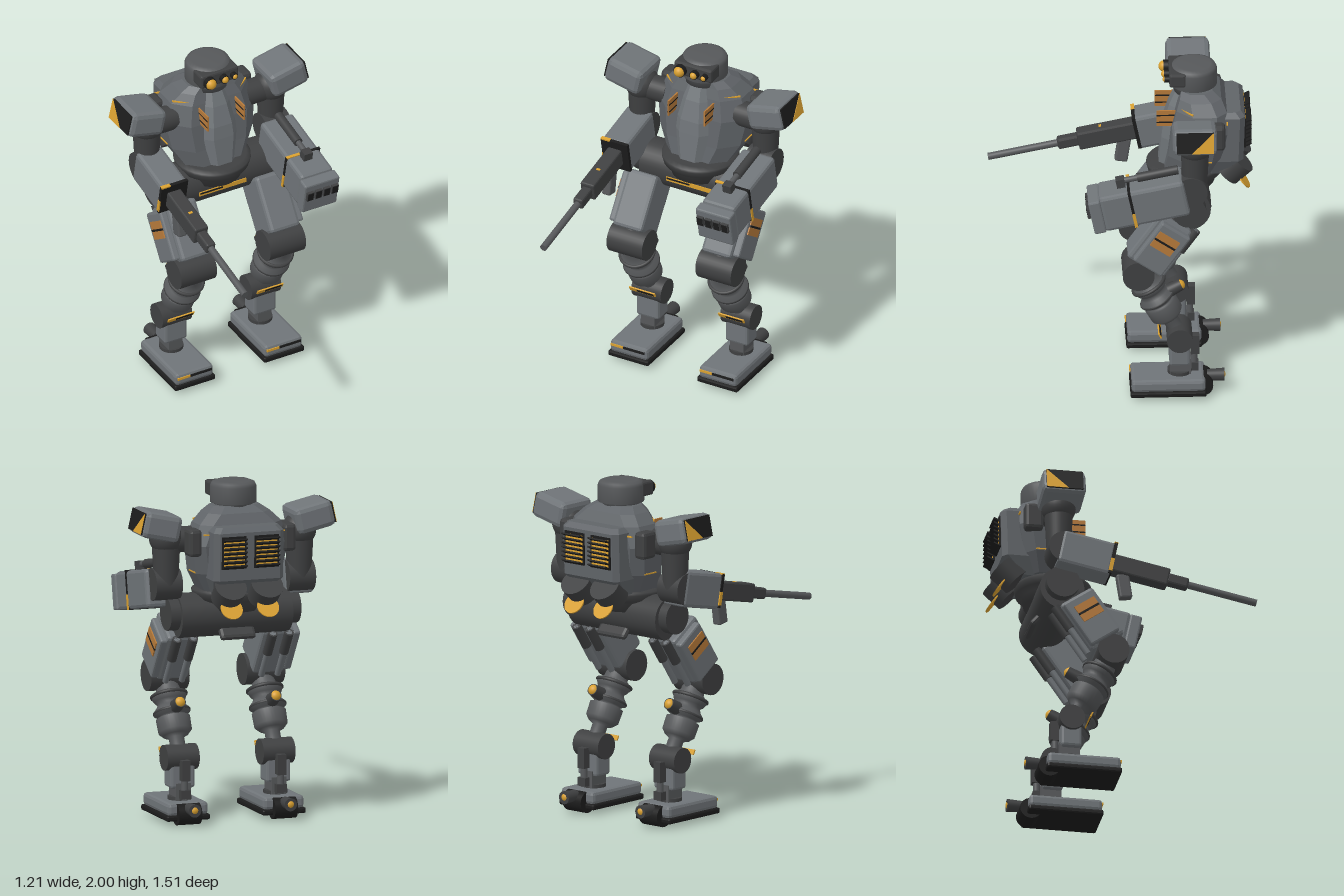
import * as THREE from 'three';
import { RoundedBoxGeometry } from 'three/addons/geometries/RoundedBoxGeometry.js';

const paint = (name, color) => Object.assign(new THREE.MeshStandardMaterial({ color }), { name });
const M = {
  panel: paint('grey panel', 0x6f7478),
  hull: paint('hull grey', 0x606468),
  metal: paint('bare metal', 0x56585a),
  dark: paint('dark joint', 0x3f4041),
  black: paint('black', 0x1c1c1c),
  orange: paint('amber', 0xd9a030),
  rust: paint('burnt orange', 0xb67a3a),
};

const flat = (g) => {
  const f = g.index ? g.toNonIndexed() : g;
  f.computeVertexNormals();
  return f;
};

export function createModel() {
  const root = new THREE.Group();
  root.name = 'walker';

  const add = (parent, name, geo, mat, p = [0, 0, 0], r = [0, 0, 0]) => {
    const m = new THREE.Mesh(geo, mat);
    m.name = name;
    m.position.set(...p);
    m.rotation.set(...r);
    parent.add(m);
    return m;
  };
  const group = (parent, name, p, r = [0, 0, 0]) => {
    const g = new THREE.Group();
    g.name = name;
    g.position.set(...p);
    g.rotation.set(...r);
    parent.add(g);
    return g;
  };
  const box = (parent, name, mat, size, p, r) => add(parent, name, new THREE.BoxGeometry(...size), mat, p, r);
  const chamfer = (parent, name, mat, size, p, r, c = 0.02) =>
    add(parent, name, flat(new RoundedBoxGeometry(...size, 1, c)), mat, p, r);
  // axis is x, y or z; top radius points along the positive axis
  const cyl = (parent, name, mat, rTop, rBot, len, p, axis = 'y', tilt = 0) => {
    const rot = { x: [0, 0, -Math.PI / 2], y: [tilt, 0, 0], z: [Math.PI / 2, 0, 0] }[axis];
    return add(parent, name, new THREE.CylinderGeometry(rTop, rBot, len, 32), mat, p, rot);
  };
  const ball = (parent, name, mat, r, p) => add(parent, name, new THREE.SphereGeometry(r, 28, 18), mat, p);
  const lathe = (parent, name, mat, pts, p) =>
    add(parent, name, new THREE.LatheGeometry(pts.map((q) => new THREE.Vector2(...q)), 32), mat, p);

  // Hull from stacked eight-sided sections [y, halfWidth, zFront, zBack, frontChamfer, backChamfer]
  const loft = (parent, name, mat, rows) => {
    const rings = rows.map(([y, w, f, b, cf, cb]) => [
      [w, y, b + cb], [w, y, f - cf], [w - cf, y, f], [cf - w, y, f],
      [-w, y, f - cf], [-w, y, b + cb], [cb - w, y, b], [w - cb, y, b]]);
    const v = [];
    const tri = (...pts) => pts.forEach((q) => v.push(...q));
    for (let k = 0; k < rings.length - 1; k++) {
      for (let i = 0; i < 8; i++) {
        const j = (i + 1) % 8, lo = rings[k], hi = rings[k + 1];
        tri(lo[i], hi[i], lo[j]);
        tri(lo[j], hi[i], hi[j]);
      }
    }
    const lo = rings[0], hi = rings[rings.length - 1];
    for (let i = 1; i < 7; i++) {
      tri(lo[0], lo[i], lo[i + 1]);
      tri(hi[0], hi[i + 1], hi[i]);
    }
    const g = new THREE.BufferGeometry();
    g.setAttribute('position', new THREE.Float32BufferAttribute(v, 3));
    g.computeVertexNormals();
    return add(parent, name, g, mat);
  };

  // Head and sensor bar
  lathe(root, 'head', M.metal, [[0, 1.83], [0.115, 1.83], [0.115, 1.87], [0.135, 1.875], [0.135, 1.97], [0.125, 1.99], [0.1, 2], [0, 2]], [0, 0, -0.415]);
  chamfer(root, 'sensorBar', M.dark, [0.25, 0.085, 0.1], [0, 1.945, -0.32], [0, 0, 0], 0.012);
  [[-0.074, 0.033], [0.02, 0.022], [0.085, 0.016]].forEach(([x, r]) => {
    cyl(root, 'lensTube', M.black, r + 0.004, r + 0.004, 0.04, [x, 1.942, -0.262], 'z');
    ball(root, 'lens', M.orange, r, [x, 1.942, -0.247]);
  });

  // Torso, chest ridge and backpack
  loft(root, 'torso', M.hull, [
    [1.37, 0.2, -0.24, -0.53, 0.08, 0.05], [1.48, 0.265, -0.26, -0.57, 0.1, 0.06],
    [1.65, 0.295, -0.28, -0.6, 0.11, 0.06], [1.77, 0.25, -0.31, -0.6, 0.09, 0.06],
    [1.83, 0.19, -0.33, -0.57, 0.06, 0.06], [1.865, 0.14, -0.34, -0.52, 0.05, 0.05]]);
  loft(root, 'chestRidge', M.panel, [
    [1.37, 0.075, -0.21, -0.4, 0.03, 0.02], [1.55, 0.115, -0.225, -0.4, 0.05, 0.02],
    [1.63, 0.11, -0.235, -0.4, 0.05, 0.02], [1.75, 0.085, -0.27, -0.42, 0.04, 0.02],
    [1.85, 0.055, -0.315, -0.42, 0.025, 0.02]]);
  loft(root, 'backpack', M.hull, [
    [1.36, 0.17, -0.5, -0.58, 0.01, 0.02], [1.46, 0.215, -0.5, -0.695, 0.01, 0.03],
    [1.74, 0.215, -0.5, -0.705, 0.01, 0.03], [1.77, 0.19, -0.5, -0.68, 0.01, 0.03]]);

  for (const s of [-1, 1]) {
    // Chest fins with hazard stripes
    box(root, 'chestFin', M.rust, [0.009, 0.1, 0.13], [s * 0.12, 1.705, -0.26]);
    for (const y of [1.68, 1.725]) box(root, 'finStripe', M.black, [0.012, 0.008, 0.128], [s * 0.12, y, -0.26]);
    // Panel seams
    box(root, 'upperSeam', M.orange, [0.1, 0.008, 0.008], [s * 0.205, 1.785, -0.37], [0, s * 0.7, 0]);
    box(root, 'lowerSeam', M.orange, [0.12, 0.007, 0.008], [s * 0.213, 1.487, -0.316], [0, s * 0.78, 0]);
    box(root, 'sideSeam', M.black, [0.008, 0.012, 0.16], [s * 0.292, 1.67, -0.47]);
    box(root, 'rearSeam', M.orange, [0.008, 0.007, 0.1], [s * 0.268, 1.487, -0.46]);
    box(root, 'backSeam', M.orange, [0.05, 0.008, 0.009], [s * 0.225, 1.72, -0.6]);
    // Vents
    box(root, 'ventFrame', M.black, [0.15, 0.19, 0.01], [s * 0.1, 1.625, -0.704]);
    box(root, 'ventGlow', M.orange, [0.13, 0.16, 0.008], [s * 0.1, 1.625, -0.708]);
    for (let i = 0; i < 7; i++) box(root, 'ventSlat', M.black, [0.14, 0.009, 0.04], [s * 0.1, 1.545 + i * 0.026, -0.724], [0.45, 0, 0]);
    // Thrusters
    cyl(root, 'thruster', M.dark, 0.095, 0.088, 0.125, [s * 0.112, 1.38, -0.64], 'y', -0.77);
    cyl(root, 'thrusterGlow', M.orange, 0.066, 0.066, 0.008, [s * 0.112, 1.295, -0.695], 'y', -0.94);
    // Shoulder links
    cyl(root, 'shoulderAxle', M.dark, 0.075, 0.075, 0.16, [s * 0.31, 1.67, -0.41], 'x');
    chamfer(root, 'shoulderMount', M.dark, [0.08, 0.16, 0.11], [s * 0.29, 1.67, -0.53]);
  }

  // Waist and pelvis
  lathe(root, 'waist', M.dark, [[0, 1.24], [0.17, 1.24], [0.18, 1.29], [0.215, 1.31], [0.225, 1.345], [0.225, 1.36], [0.2, 1.375], [0, 1.385]], [0, 0, -0.365]);
  cyl(root, 'pelvis', M.dark, 0.13, 0.13, 0.68, [0, 1.215, -0.37], 'x');
  chamfer(root, 'tailPlate', M.dark, [0.22, 0.13, 0.04], [0, 1.13, -0.465], [0.7, 0, 0]);
  box(root, 'beltStripe', M.orange, [0.31, 0.026, 0.009], [0, 1.198, -0.239]);
  box(root, 'beltDash', M.black, [0.15, 0.01, 0.009], [-0.075, 1.202, -0.237]);

  for (const s of [-1, 1]) {
    const x = s * 0.295;
    // Thigh
    const leg = group(root, s < 0 ? 'rightLeg' : 'leftLeg', [x, 0, 0]);
    cyl(leg, 'hip', M.dark, 0.098, 0.098, 0.21, [0, 1.23, -0.375], 'x');
    const thigh = group(leg, 'thigh', [0, 1.01, -0.205], [-0.607, 0, 0]);
    chamfer(thigh, 'thighArmour', M.panel, [0.195, 0.34, 0.23], [0, 0, 0.005]);
    chamfer(thigh, 'thighSidePlate', M.panel, [0.05, 0.3, 0.2], [s * 0.112, 0, -0.01], [0, 0, 0], 0.012);
    cyl(thigh, 'thighCore', M.dark, 0.07, 0.07, 0.5, [0, 0, 0]);
    [-1, 1].forEach((k) => {
      cyl(thigh, 'thighPiston', M.panel, 0.018, 0.018, 0.34, [k * 0.05, 0.01, -0.13]);
      cyl(thigh, 'pistonSleeve', M.dark, 0.028, 0.028, 0.16, [k * 0.05, 0.1, -0.13]);
    });
    [-0.03, 0, 0.03].forEach((y, i) =>
      box(thigh, 'thighStripe', i === 1 ? M.black : M.rust, [0.009, i === 1 ? 0.012 : 0.046, 0.14], [s * (i === 1 ? 0.141 : 0.14), 0.045 + y, 0]));

    // Knee and ribbed shin
    cyl(leg, 'knee', M.dark, 0.092, 0.092, 0.235, [0, 0.82, -0.08], 'x');
    const shin = group(leg, 'shin', [0, 0.82, -0.08], [0.5, 0, 0]);
    lathe(shin, 'shinBellows', M.metal, [[0.045, -0.5], [0.045, -0.39], [0.075, -0.375], [0.098, -0.35], [0.1, -0.27], [0.08, -0.265], [0.08, -0.255],
      [0.108, -0.24], [0.108, -0.225], [0.085, -0.2], [0.075, -0.18], [0.09, -0.165], [0.103, -0.14], [0.1, -0.125], [0.07, -0.1], [0.06, 0]], [0, 0, 0]);
    for (const y of [-0.13, -0.232]) add(shin, 'shinRing', new THREE.TorusGeometry(0.1, 0.011, 10, 32), M.dark, [0, y, 0], [Math.PI / 2, 0, 0]);
    cyl(shin, 'shinLampBody', M.dark, 0.04, 0.034, 0.08, [0, -0.225, -0.125], 'z');
    ball(shin, 'shinLamp', M.orange, 0.033, [0, -0.225, -0.15]);

    // Ankle
    cyl(leg, 'ankle', M.dark, 0.075, 0.075, 0.195, [0, 0.375, -0.32], 'x');
    box(leg, 'ankleMarker', M.orange, [0.17, 0.03, 0.008], [0, 0.405, -0.205], [0.5, 0, 0]);
    box(leg, 'ankleMarkerDash', M.black, [0.11, 0.02, 0.0095], [0.02, 0.405, -0.205], [0.5, 0, 0]);
    chamfer(leg, 'ankleGuard', M.panel, [0.15, 0.15, 0.12], [0, 0.275, -0.32], [0, 0, 0], 0.015);
    box(leg, 'ankleStem', M.metal, [0.09, 0.12, 0.12], [0, 0.17, -0.325]);
    cyl(leg, 'stemCollar', M.dark, 0.07, 0.07, 0.025, [0, 0.137, -0.32]);
    box(leg, 'heelStrut', M.dark, [0.05, 0.12, 0.05], [0, 0.31, -0.41]);
    cyl(leg, 'heelPiston', M.metal, 0.02, 0.02, 0.2, [0, 0.24, -0.405]);
    box(leg, 'heelBracket', M.dark, [0.06, 0.05, 0.04], [0, 0.17, -0.41]);

    // Foot
    chamfer(leg, 'foot', M.panel, [0.25, 0.075, 0.43], [0, 0.092, -0.253]);
    chamfer(leg, 'sole', M.black, [0.268, 0.034, 0.44], [0, 0.042, -0.253], [0, 0, 0], 0.01);
    box(leg, 'toeStripe', M.orange, [0.08, 0.014, 0.008], [-0.075, 0.105, -0.037]);
    box(leg, 'toeDash', M.black, [0.14, 0.014, 0.008], [0.038, 0.105, -0.037]);
    cyl(leg, 'heelWheel', M.black, 0.063, 0.063, 0.14, [0, 0.063, -0.45], 'x');
    cyl(leg, 'heelThruster', M.dark, 0.032, 0.038, 0.1, [0, 0.1, -0.53], 'z');
    ball(leg, 'heelLamp', M.orange, 0.031, [0, 0.102, -0.556]);

    // Shoulder and upper arm
    const ax = s * 0.41;
    const arm = group(root, s < 0 ? 'rightArm' : 'leftArm', [ax, 0, 0]);
    ball(arm, 'shoulderBall', M.dark, 0.1, [0, 1.685, -0.405]);
    cyl(arm, 'upperArm', M.dark, 0.085, 0.07, 0.28, [0, 1.55, -0.405]);
    cyl(arm, 'elbow', M.dark, 0.095, 0.095, 0.16, [0, 1.41, -0.38], 'x');
    const pad = group(arm, 'shoulderPad', [s * 0.06, 1.765, -0.4], [0, 0, s * 0.22]);
    chamfer(pad, 'padArmour', M.panel, [0.235, 0.155, 0.255], [0, 0, 0], [0, 0, 0], 0.03);
    box(pad, 'padPlate', M.black, [0.009, 0.125, 0.215], [s * 0.117, 0, 0]);
    const corner = new THREE.Shape([[-0.107, 0.062], [-0.107, -0.062], [0.02, -0.062]].map((q) => new THREE.Vector2(...q)));
    add(pad, 'padFlash', new THREE.ExtrudeGeometry(corner, { depth: 0.005, bevelEnabled: false }), M.orange, [s * 0.122 + 0.0025, 0, 0], [0, -Math.PI / 2, 0]);
  }

  // Right forearm with long gun
  const gun = group(root, 'gunForearm', [-0.41, 1.41, -0.38], [0.2, 0, 0]);
  chamfer(gun, 'forearmArmour', M.panel, [0.17, 0.21, 0.32], [0, 0, 0.13]);
  box(gun, 'forearmBand', M.black, [0.176, 0.2, 0.02], [0, 0.005, 0.285]);
  box(gun, 'forearmTrim', M.orange, [0.06, 0.009, 0.022], [-0.058, 0.103, 0.285]);
  box(gun, 'forearmSideTrim', M.orange, [0.008, 0.08, 0.022], [-0.087, -0.04, 0.285]);
  chamfer(gun, 'gunBody', M.dark, [0.09, 0.11, 0.36], [0, 0, 0.45], [0, 0, 0], 0.01);
  box(gun, 'gunMark', M.orange, [0.025, 0.008, 0.015], [0, 0.054, 0.49]);
  chamfer(gun, 'magazine', M.metal, [0.055, 0.15, 0.075], [0, -0.12, 0.39], [-0.35, 0, 0], 0.01);
  chamfer(gun, 'gunSleeve', M.dark, [0.062, 0.066, 0.13], [0, 0, 0.685], [0, 0, 0], 0.012);
  cyl(gun, 'barrel', M.metal, 0.021, 0.021, 0.41, [0, 0, 0.955], 'z');

  // Left forearm with rocket pod
  const pod = group(root, 'podForearm', [0.407, 1.41, -0.38], [0.2, 0, 0]);
  chamfer(pod, 'podBody', M.panel, [0.215, 0.225, 0.5], [0, -0.02, 0.28]);
  chamfer(pod, 'podFace', M.panel, [0.23, 0.21, 0.07], [0, -0.025, 0.56], [0, 0, 0], 0.01);
  for (let i = 0; i < 4; i++) {
    const x = (i - 1.5) * 0.054;
    box(pod, 'rocketTube', M.dark, [0.043, 0.06, 0.02], [x, 0.005, 0.602]);
    box(pod, 'rocketHole', M.black, [0.036, 0.052, 0.006], [x, 0.005, 0.611]);
  }
  box(pod, 'podBand', M.black, [0.224, 0.232, 0.016], [0, -0.02, 0.35]);
  box(pod, 'podBandTrim', M.orange, [0.09, 0.008, 0.018], [-0.065, 0.094, 0.35]);
  for (const s of [-1, 1]) box(pod, 'podSideTrim', M.orange, [0.006, 0.09, 0.018], [s * 0.111, -0.09, 0.35]);
  cyl(pod, 'podPiston', M.dark, 0.027, 0.027, 0.24, [0, 0.125, 0.17], 'z');
  cyl(pod, 'podRod', M.metal, 0.017, 0.017, 0.16, [0, 0.125, 0.32], 'z');
  box(pod, 'pistonMount', M.dark, [0.055, 0.06, 0.05], [0, 0.115, 0.39]);
  return root;
}
